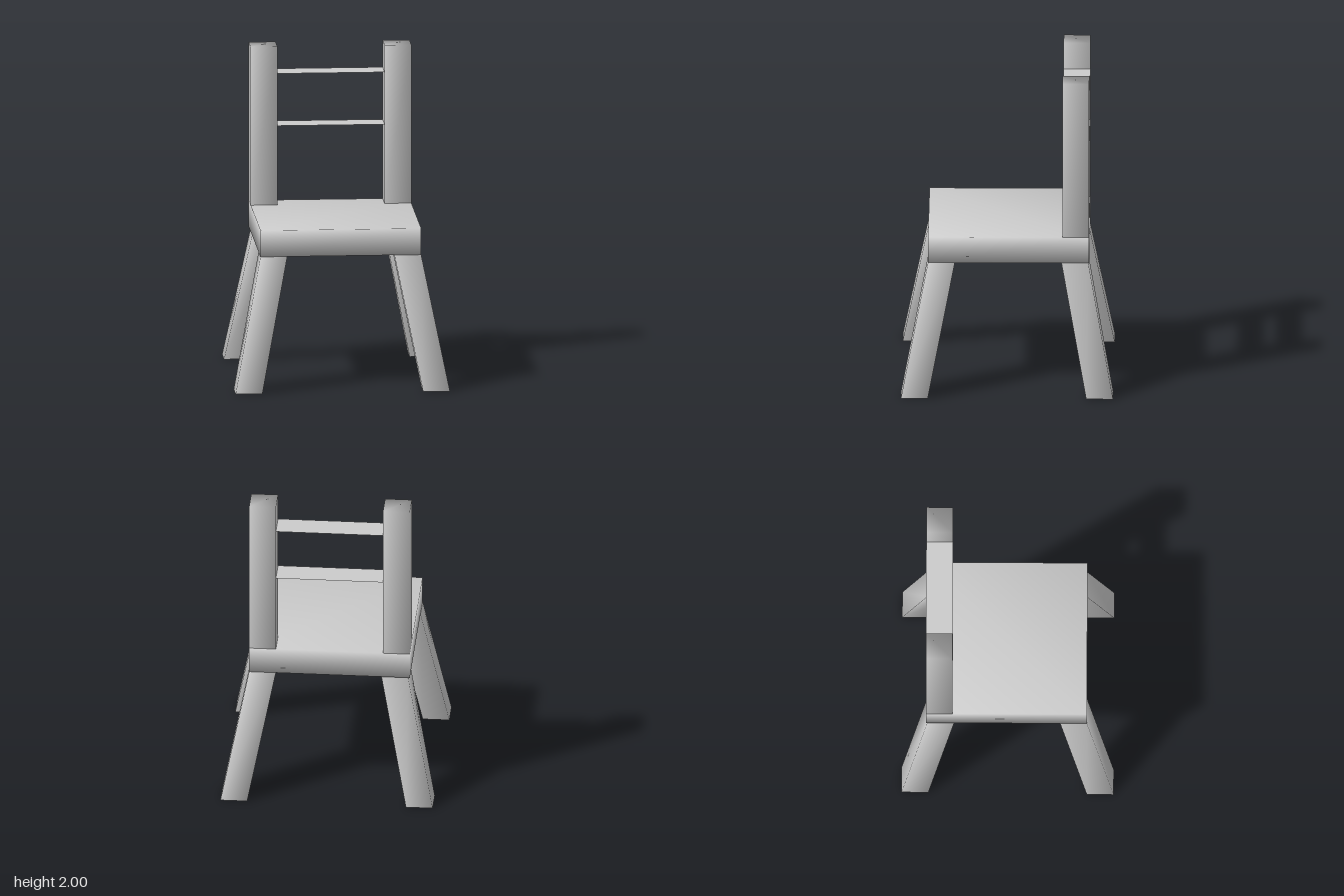
import * as THREE from 'three';
import { mergeVertices } from 'three/addons/utils/BufferGeometryUtils.js';

const material = new THREE.MeshStandardMaterial({ color: 0xcccccc });
const sheetMaterial = new THREE.MeshStandardMaterial({ color: 0xcccccc, side: THREE.DoubleSide });

const T = 1 / 6; // thickness of seat, posts and legs
const SEAT_Y = 1, BACK_Z = -0.51, FRONT_Z = 0.49;

// Box whose corners share one normal, with its lower end shifted by (dx, dz)
function softBox(name, w, h, d, x, y, z, dx = 0, dz = 0) {
  let geo = new THREE.BoxGeometry(w, h, d);
  const p = geo.attributes.position;
  for (let i = 0; i < p.count; i++) {
    if (p.getY(i) < 0) p.setXYZ(i, p.getX(i) + dx, p.getY(i), p.getZ(i) + dz);
  }
  geo.deleteAttribute('normal');
  geo.deleteAttribute('uv');
  geo = mergeVertices(geo);
  geo.computeVertexNormals();
  const mesh = new THREE.Mesh(geo, material);
  mesh.name = name;
  mesh.position.set(x, y, z);
  return mesh;
}

export function createModel() {
  const chair = new THREE.Group();
  chair.name = 'chair';

  // Seat slab
  chair.add(softBox('seat', 1, T, 1, 0, SEAT_Y - T / 2, (BACK_Z + FRONT_Z) / 2));

  const legH = SEAT_Y - T;
  for (const s of [1, -1]) {
    const side = s > 0 ? 'Left' : 'Right';
    const x = s * (0.5 - T / 2);

    // Upright post of the backrest
    chair.add(softBox('backPost' + side, T, 1, T, x, SEAT_Y + 0.5, BACK_Z + T / 2));

    // Splayed legs; the rear ones sit slightly inside the seat corners
    chair.add(softBox('frontLeg' + side, T, legH, T, x, legH / 2, FRONT_Z - T / 2, s * T, T));
    const rearX = s > 0 ? x : x + 0.012;
    const rearZ = (s > 0 ? -0.505 : -0.497) + T / 2;
    chair.add(softBox('rearLeg' + side, T, legH, T, rearX, legH / 2, rearZ,
      s * T, -0.66 + T / 2 - rearZ));
  }

  // Paper-thin horizontal rails between the posts
  for (const y of [1.5, 1.83]) {
    const rail = new THREE.Mesh(new THREE.PlaneGeometry(1 - 2 * T, T), sheetMaterial);
    rail.name = 'backRail';
    rail.rotation.x = -Math.PI / 2;
    rail.position.set(0, y, BACK_Z + T / 2);
    chair.add(rail);
  }
  return chair;
}
